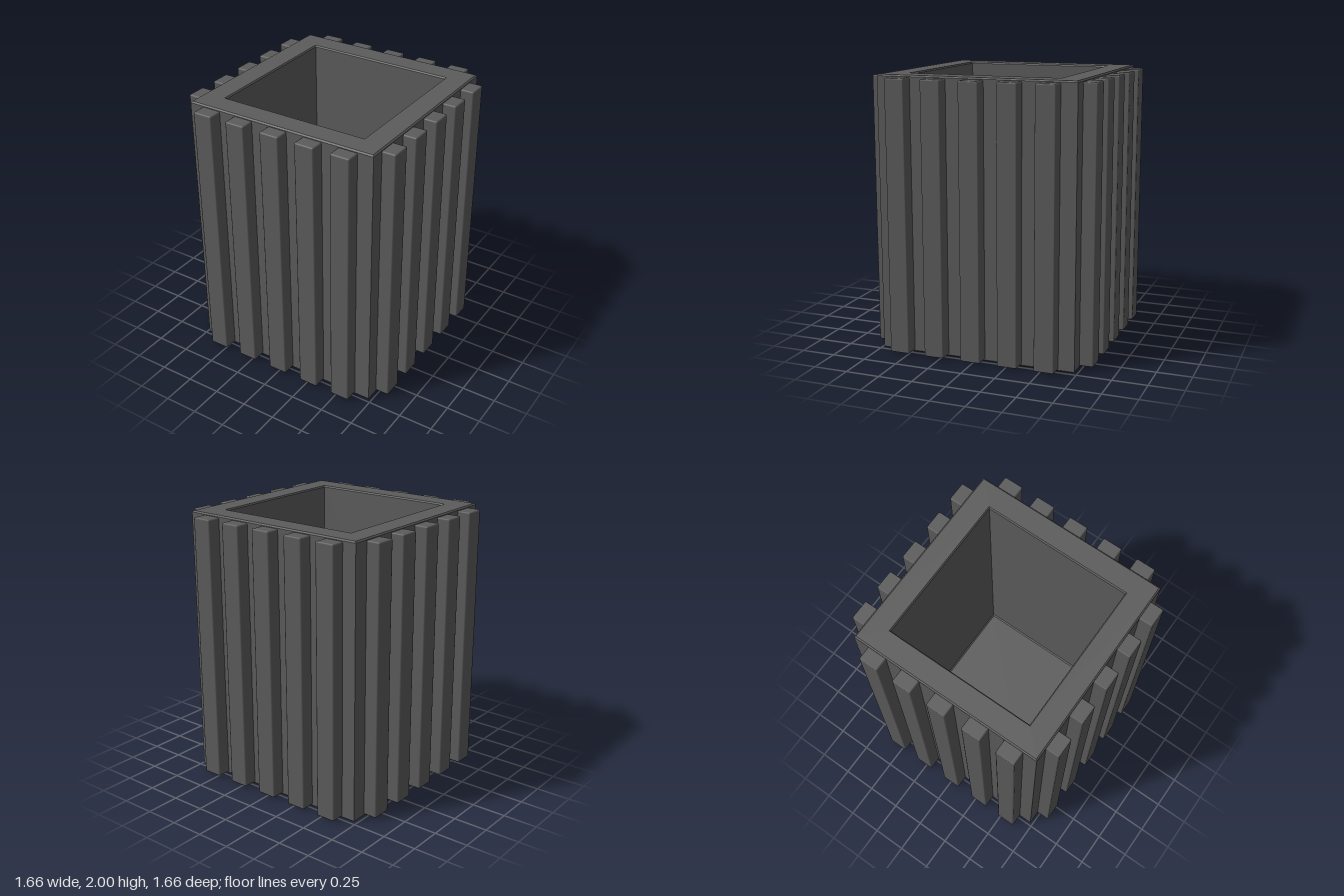
import * as THREE from 'three';
import { RoundedBoxGeometry } from 'three/addons/geometries/RoundedBoxGeometry.js';

const BODY = 0.73;   // half width of the square body
const OUTER = 0.83;  // how far the slats reach from the centre
const SLAT_OFFSETS = [-0.553, -0.284, -0.005, 0.27, 0.54];

// Square ring-by-ring solid: each profile point is [half width, height]
function squareLathe(profile) {
  const points = profile.map(([half, y]) => new THREE.Vector2(half * Math.SQRT2, y));
  const geometry = new THREE.LatheGeometry(points, 4).rotateY(Math.PI / 4).toNonIndexed();
  geometry.computeVertexNormals();
  return geometry;
}

export function createModel() {
  const model = new THREE.Group();
  model.name = 'slattedPlanter';

  const darkGrey = new THREE.MeshStandardMaterial({ color: 0x5c5c5c });
  darkGrey.name = 'dark grey';

  // Hollow box with chamfered edges and a slightly tapered cavity
  const body = new THREE.Mesh(squareLathe([
    [0, 0], [BODY - 0.01, 0], [BODY, 0.01],
    [BODY, 1.99], [BODY - 0.01, 2],
    [0.565, 2], [0.557, 1.99],
    [0.545, 0.16], [0.535, 0.15], [0, 0.15],
  ]), darkGrey);
  body.name = 'body';
  model.add(body);

  // Five vertical slats on each of the four sides
  const depth = OUTER - BODY + 0.02;
  const slatGeometry = new RoundedBoxGeometry(0.147, 1.97, depth, 1, 0.01);
  const reach = OUTER - depth / 2;
  const slats = new THREE.Group();
  slats.name = 'slats';
  for (const side of [-1, 1]) {
    for (const offset of SLAT_OFFSETS) {
      const faceSlat = new THREE.Mesh(slatGeometry, darkGrey);
      faceSlat.name = side > 0 ? 'frontSlat' : 'backSlat';
      faceSlat.position.set(offset, 1, side * reach);

      const sideSlat = new THREE.Mesh(slatGeometry, darkGrey);
      sideSlat.name = side > 0 ? 'leftSlat' : 'rightSlat';
      sideSlat.rotation.y = Math.PI / 2;
      sideSlat.position.set(side * reach, 1, -offset);

      slats.add(faceSlat, sideSlat);
    }
  }
  model.add(slats);

  return model;
}
